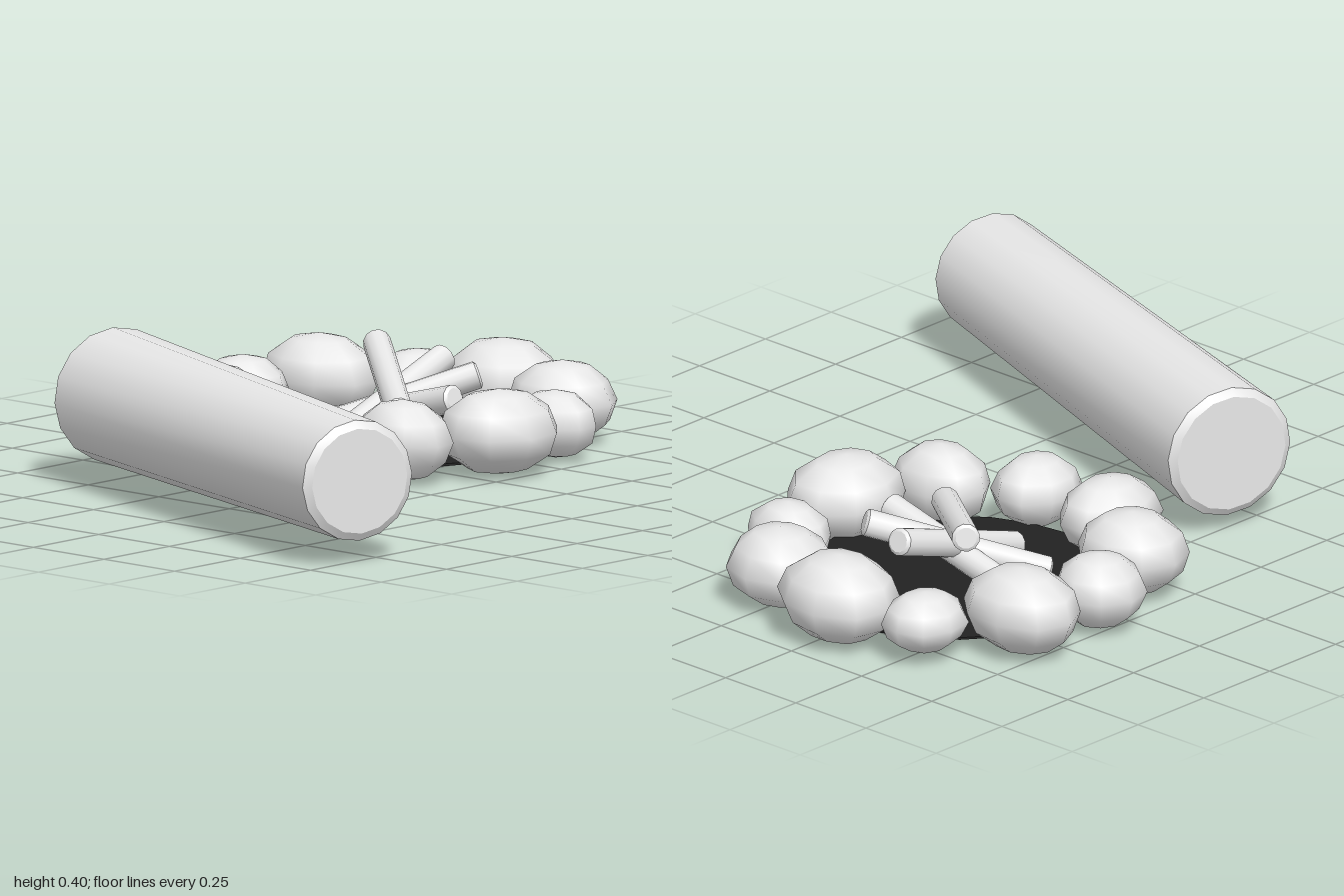
import * as THREE from 'three';
import { mergeVertices, toCreasedNormals } from 'three/addons/utils/BufferGeometryUtils.js';

const stone = new THREE.MeshStandardMaterial({ color: 0xe7e7e7 });
stone.name = 'pale grey';
const ash = new THREE.MeshStandardMaterial({ color: 0x222222 });
ash.name = 'charcoal black';

// Seeded random numbers for the rock shapes
let seed = 7;
const rand = () => (seed = (seed * 16807) % 2147483647) / 2147483647;

// Round bar with bevelled ends, running from point a to point b
function bar(name, a, b, ra, rb, bevel, sides) {
  const from = new THREE.Vector3(...a), to = new THREE.Vector3(...b);
  const axis = to.clone().sub(from), len = axis.length();
  const profile = [
    [0, 0], [ra - bevel * 1.5, 0], [ra, bevel],
    [rb, len - bevel], [rb - bevel * 1.5, len], [0, len],
  ].map(p => new THREE.Vector2(...p));
  const mesh = new THREE.Mesh(toCreasedNormals(new THREE.LatheGeometry(profile, sides), 0.55), stone);
  mesh.name = name;
  mesh.position.copy(from);
  mesh.quaternion.setFromUnitVectors(new THREE.Vector3(0, 1, 0), axis.normalize());
  return mesh;
}

// Squashed, slightly uneven low-poly boulder with smooth normals
function rock(x, y, z, w, h, d) {
  let g = new THREE.SphereGeometry(1, 9, 6);
  g.deleteAttribute('uv');
  g.deleteAttribute('normal');
  g = mergeVertices(g, 1e-4);
  g.rotateY(rand() * 6.28);
  const p = g.attributes.position;
  for (let i = 0; i < p.count; i++) {
    const k = 0.98 + rand() * 0.08;
    p.setXYZ(i, p.getX(i) * k, p.getY(i), p.getZ(i) * k);
  }
  g.scale(w / 2, h / 2, d / 2);
  g.computeVertexNormals();
  const mesh = new THREE.Mesh(g, stone);
  mesh.name = 'rock';
  mesh.position.set(x, y, z);
  return mesh;
}

export function createModel() {
  const model = new THREE.Group();
  model.name = 'campfire';

  // Log seat, slightly tapered
  model.add(bar('logSeat', [-0.855, 0.225, 0.79], [-0.374, 0.225, -0.529], 0.16, 0.178, 0.014, 16));

  // Ash bed
  const bed = new THREE.Mesh(new THREE.CylinderGeometry(0.415, 0.415, 0.006, 24), ash);
  bed.name = 'ashBed';
  bed.position.set(0.4, 0.035, -0.27);
  model.add(bed);

  // Ring of rocks: x, y, z, width, height, depth
  const ring = new THREE.Group();
  ring.name = 'rockRing';
  [
    [-0.05, 0.115, -0.40, 0.29, 0.21, 0.24],
    [-0.055, 0.11, -0.135, 0.25, 0.19, 0.22],
    [0.09, 0.115, 0.07, 0.225, 0.215, 0.28],
    [0.33, 0.12, 0.185, 0.33, 0.225, 0.29],
    [0.59, 0.10, 0.145, 0.20, 0.18, 0.24],
    [0.785, 0.115, -0.01, 0.27, 0.215, 0.29],
    [0.85, 0.122, -0.28, 0.29, 0.235, 0.34],
    [0.79, 0.107, -0.53, 0.235, 0.16, 0.21],
    [0.585, 0.122, -0.685, 0.27, 0.23, 0.335],
    [0.33, 0.11, -0.72, 0.24, 0.2, 0.24],
    [0.10, 0.12, -0.62, 0.28, 0.22, 0.30],
  ].forEach(r => ring.add(rock(...r)));
  model.add(ring);

  // Firewood leaning across itself, each from its low end to its high end
  const wood = new THREE.Group();
  wood.name = 'firewood';
  [
    [[0.395, 0.045, -0.51], [0.395, 0.17, -0.03]],
    [[0.155, 0.05, -0.255], [0.64, 0.215, -0.293]],
    [[0.215, 0.045, -0.435], [0.575, 0.2, -0.11]],
    [[0.235, 0.15, -0.08], [0.555, 0.245, -0.455]],
  ].forEach(([a, b]) => wood.add(bar('stick', a, b, 0.037, 0.037, 0.006, 12)));
  model.add(wood);

  return model;
}
